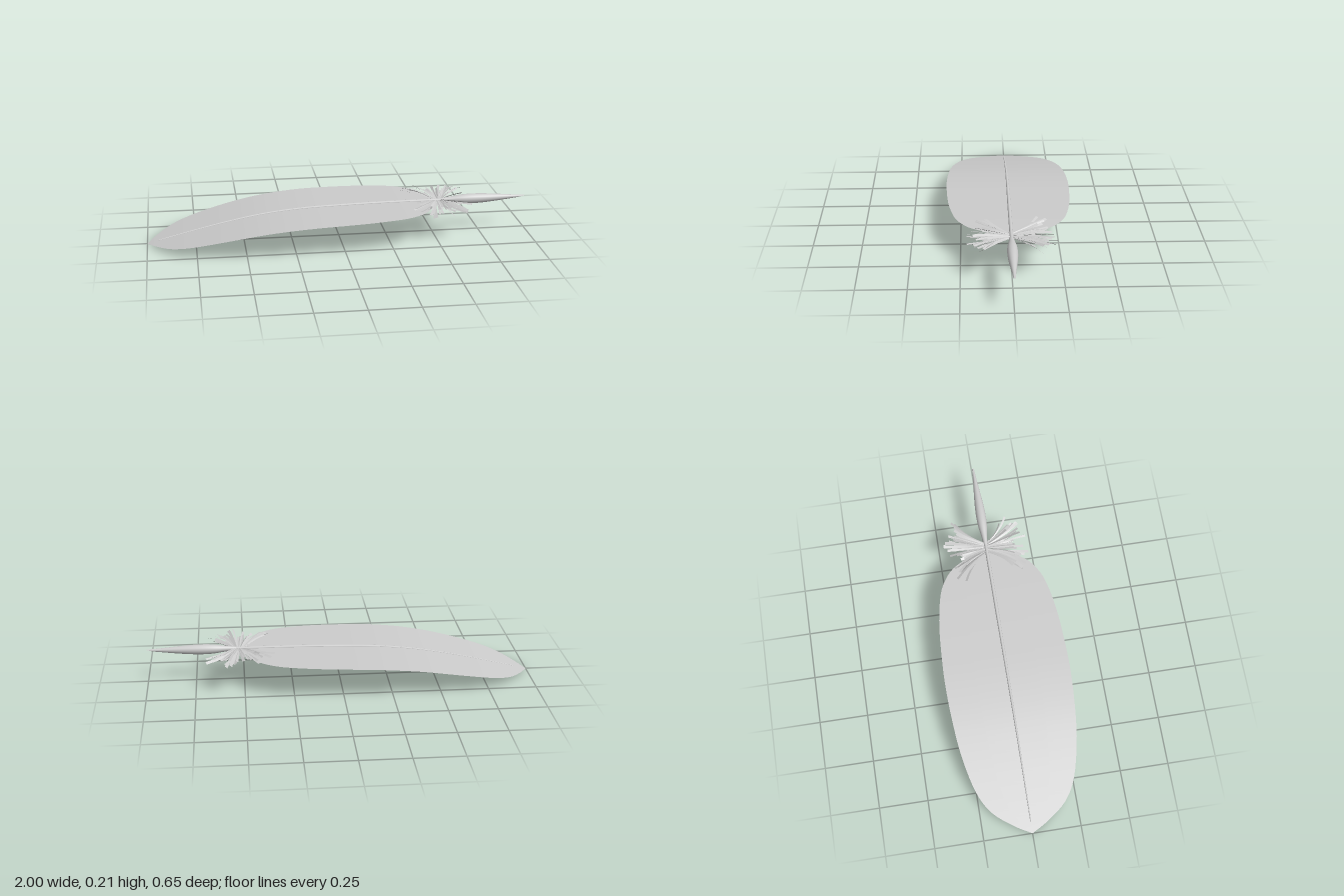
import * as THREE from 'three';
import { mergeGeometries } from 'three/addons/utils/BufferGeometryUtils.js';

const makeSpline = pts => new THREE.SplineCurve(pts.map(p => new THREE.Vector2(...p)));

// Height of the feather's drooping spine at a given x
const SPINE = [[-1, 0.002], [-0.94, 0.018], [-0.8, 0.053], [-0.6, 0.099], [-0.4, 0.136], [-0.2, 0.157],
  [0, 0.165], [0.25, 0.17], [0.5, 0.171], [0.75, 0.172], [1, 0.175]];
const spineTable = makeSpline(SPINE).getPoints(200);
function spineY(x) {
  let i = 1;
  while (i < spineTable.length - 1 && spineTable[i].x < x) i++;
  const a = spineTable[i - 1], b = spineTable[i];
  return THREE.MathUtils.mapLinear(x, a.x, b.x, a.y, b.y);
}

// Small seeded generator for the downy barbs
function seeded(seed) {
  return () => (seed = (seed * 16807) % 2147483647) / 2147483647;
}

// Round section along x whose centre follows the spine; profile is [x, radius]
function shaftGeometry(profile, sides) {
  const g = new THREE.LatheGeometry(profile.map(([x, r]) => new THREE.Vector2(r, x)), sides);
  g.rotateZ(-Math.PI / 2);
  const p = g.attributes.position;
  for (let i = 0; i < p.count; i++) p.setY(i, p.getY(i) + spineY(p.getX(i)));
  return g;
}

// Flat blade: half-width outline swept along the spine
function vaneGeometry() {
  const outline = makeSpline([[-1, 0], [-0.95, 0.09], [-0.87, 0.19], [-0.76, 0.253], [-0.58, 0.297],
    [-0.4, 0.317], [-0.2, 0.326], [0, 0.32], [0.15, 0.307], [0.29, 0.28], [0.37, 0.245],
    [0.43, 0.195], [0.48, 0.11], [0.52, 0.005]]).getPoints(60);
  const g = new THREE.PlaneGeometry(1, 2, 60, 4).rotateX(-Math.PI / 2);
  const p = g.attributes.position;
  for (let i = 0; i < p.count; i++) {
    const o = outline[Math.round((p.getX(i) + 0.5) * 60)];
    p.setXYZ(i, o.x, spineY(o.x), p.getZ(i) * Math.max(o.y, 0));
  }
  g.computeVertexNormals();
  return g;
}

// One curved ribbon of down, rooted on the shaft and bending as it goes
function barbGeometry(side, rand) {
  const steps = 6, length = 0.13 + 0.1 * rand();
  const g = new THREE.PlaneGeometry(1, 1, steps, 1).rotateX(-Math.PI / 2);
  const p = g.attributes.position;
  const fan = rand() * 2 - 1;
  const rootX = 0.525 + fan * 0.025;
  const start = fan * 0.55 - 0.05, bend = fan * 0.45 + (rand() - 0.5) * 0.5;
  const lift = (rand() - 0.5) * 0.052, sag = (rand() - 0.5) * 0.035;
  const width = 0.008 + 0.008 * rand(), twist = (rand() - 0.5) * 1.4;
  for (let i = 0; i < p.count; i++) {
    const t = p.getX(i) + 0.5, edge = p.getZ(i) * width * (0.45 + 0.75 * t);
    const angle = start + bend * t, mid = start + bend * t / 2;
    const across = edge * Math.cos(twist);
    p.setXYZ(i,
      rootX + Math.sin(mid) * length * t + Math.cos(angle) * across,
      0.172 + lift * Math.sin(t * 1.6) + sag * t * t * 0.6 + edge * Math.sin(twist),
      side * (Math.cos(mid) * length * t - Math.sin(angle) * across));
  }
  g.computeVertexNormals();
  return g;
}

export function createModel() {
  const feather = new THREE.Group();
  feather.name = 'feather';
  const solid = new THREE.MeshStandardMaterial({ color: 0xcccccc });
  const thin = new THREE.MeshStandardMaterial({ color: 0xcccccc, side: THREE.DoubleSide });
  const add = (name, geometry, material) => {
    const mesh = new THREE.Mesh(geometry, material);
    mesh.name = name;
    feather.add(mesh);
  };

  // Broad blade
  add('vane', vaneGeometry(), thin);

  // Tapering central shaft
  const rachis = [[-0.945, 0]];
  for (let i = 0; i <= 40; i++) {
    const t = i / 40;
    rachis.push([-0.94 + 1.5 * t, 0.0028 + 0.0062 * Math.min(1, t * 1.4)]);
  }
  add('shaft', shaftGeometry(rachis, 12), solid);

  // Swollen bare quill, open at its end
  const bulb = makeSpline([[0.54, 0.009], [0.6, 0.016], [0.66, 0.024], [0.72, 0.026], [0.79, 0.023],
    [0.87, 0.016], [0.94, 0.009], [1, 0.005]]).getPoints(35).map(v => [v.x, v.y]);
  const quill = shaftGeometry(bulb, 20);
  // Slanted cut that leaves only the upper lip at the tip
  const q = quill.attributes.position;
  for (let i = 0; i < q.count; i++) {
    const t = (q.getX(i) - 0.945) / 0.055;
    if (t > 0) q.setY(i, Math.max(q.getY(i), spineY(q.getX(i)) - 0.009 + 0.012 * t));
  }
  add('quill', quill, thin);

  // Downy tufts on both sides of the shaft
  for (const side of [1, -1]) {
    const rand = seeded(side > 0 ? 4127 : 9311);
    const barbs = Array.from({ length: 46 }, () => barbGeometry(side, rand));
    add(side > 0 ? 'frontDown' : 'backDown', mergeGeometries(barbs), thin);
  }
  return feather;
}
